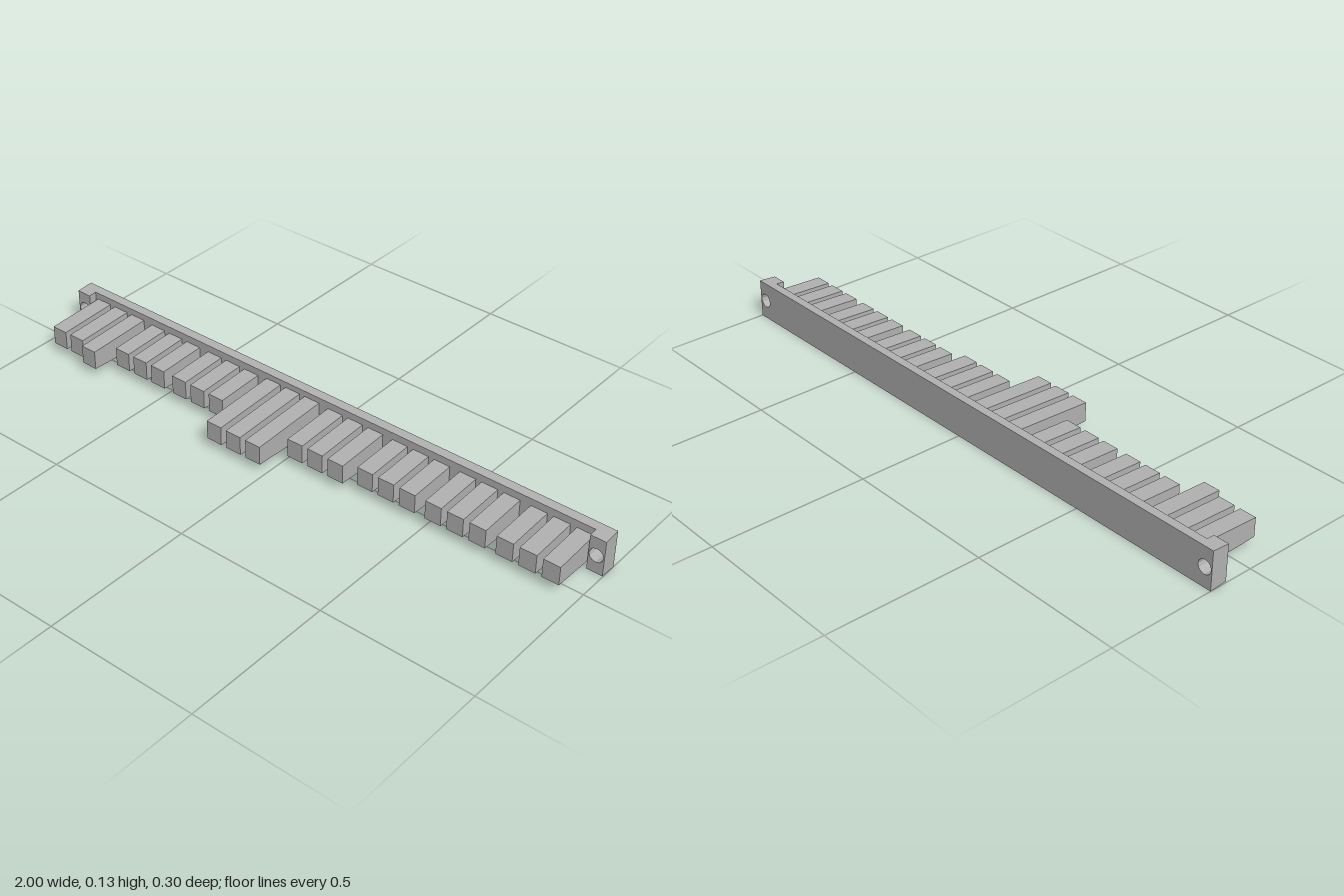
import * as THREE from 'three';

const grey = new THREE.MeshStandardMaterial({ color: 0xb2b2b2, flatShading: true });
grey.name = 'grey';

const BACK = -0.15, STEP = -0.12, TAB_FRONT = -0.093, MID = 0.064;

function rectangle(x0, x1, y0, y1) {
  return new THREE.Shape([
    new THREE.Vector2(x0, y0), new THREE.Vector2(x1, y0),
    new THREE.Vector2(x1, y1), new THREE.Vector2(x0, y1),
  ]);
}

// round screw hole near one end
function addHole(shape, side) {
  const pts = [];
  for (let i = 0; i < 12; i++) {
    const a = -i / 12 * Math.PI * 2;
    pts.push(new THREE.Vector2(side * 0.974 + 0.023 * Math.cos(a), MID + 0.023 * Math.sin(a)));
  }
  shape.holes.push(new THREE.Path(pts));
}

// extrude between two depths, narrowing the outer edges slightly toward the front
function draftedSlab(shape, z0, z1) {
  const g = new THREE.ExtrudeGeometry(shape, { depth: z1 - z0, bevelEnabled: false });
  g.translate(0, 0, z0);
  const p = g.attributes.position;
  for (let i = 0; i < p.count; i++) {
    const dy = p.getY(i) - MID;
    if (Math.abs(dy) > 0.04) p.setY(i, p.getY(i) - Math.sign(dy) * 0.07 * (p.getZ(i) - BACK));
  }
  g.computeVertexNormals();
  return g;
}

// finger with a fixed tip height that thickens toward the plate
function finger(x, tip) {
  const length = tip - STEP;
  const g = new THREE.BoxGeometry(0.055, 0.062, length);
  const p = g.attributes.position;
  for (let i = 0; i < p.count; i++) {
    if (p.getZ(i) < 0) p.setY(i, p.getY(i) + Math.sign(p.getY(i)) * 0.041 * length);
  }
  g.translate(x, MID, (tip + STEP) / 2);
  g.computeVertexNormals();
  return g;
}

export function createModel() {
  const model = new THREE.Group();
  model.name = 'fingerRail';
  const add = (name, geometry) => {
    const mesh = new THREE.Mesh(geometry, grey);
    mesh.name = name;
    model.add(mesh);
  };

  // long back plate with a hole at each end
  const plate = rectangle(-1, 1, 0.001, 0.127);
  addHole(plate, -1);
  addHole(plate, 1);
  add('backPlate', draftedSlab(plate, BACK, STEP));

  // end tabs standing forward of the plate
  for (const side of [-1, 1]) {
    const tab = side < 0 ? rectangle(-1, -0.949, 0.001, 0.127) : rectangle(0.949, 1, 0.001, 0.127);
    addHole(tab, side);
    add(side < 0 ? 'rightTab' : 'leftTab', draftedSlab(tab, STEP, TAB_FRONT));
  }

  // eight groups of three fingers, each group with its own reach
  const reach = [
    [0.08, 0.08, 0.102], [0.043, 0.043, 0.043], [0.043, 0.043, 0.043], [0.15, 0.15, 0.15],
    [0.066, 0.066, 0.066], [0.043, 0.043, 0.043], [0.043, 0.043, 0.043], [0.043, 0.043, 0.043],
  ];
  reach.forEach((tips, i) => tips.forEach((tip, j) => {
    add('finger' + (i * 3 + j + 1), finger(-0.911 + i * 0.24 + j * 0.075, tip));
  }));
  return model;
}
